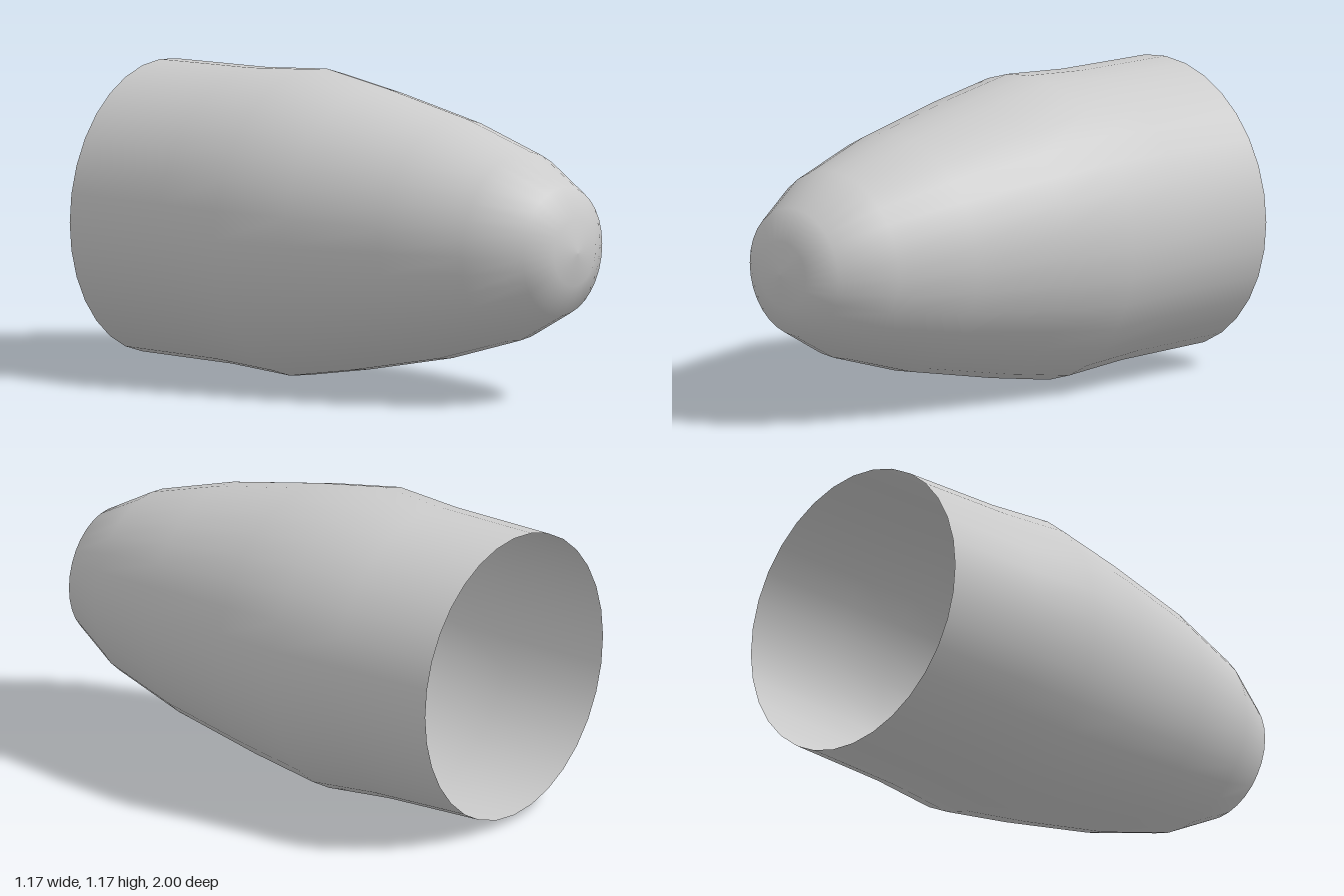
import * as THREE from 'three';

export function createModel() {
  const model = new THREE.Group();
  const material = new THREE.MeshStandardMaterial({ color: 0xcccccc, side: THREE.DoubleSide });

  // Shell profile as [radius, z], from the open rear rim to the rounded nose
  const profile = [
    [0.558, -1], [0.565, -0.57], [0.585, -0.29], [0.537, 0], [0.456, 0.4],
    [0.36, 0.72], [0.246, 0.925], [0.127, 0.985], [0, 1],
  ].map(([r, z]) => new THREE.Vector2(r, z));

  // Thin hollow shell, turned so its axis runs along z
  const geometry = new THREE.LatheGeometry(profile, 32);
  geometry.rotateX(Math.PI / 2);
  const shell = new THREE.Mesh(geometry, material);
  shell.name = 'noseShell';
  shell.position.y = 0.586;
  model.add(shell);

  return model;
}
